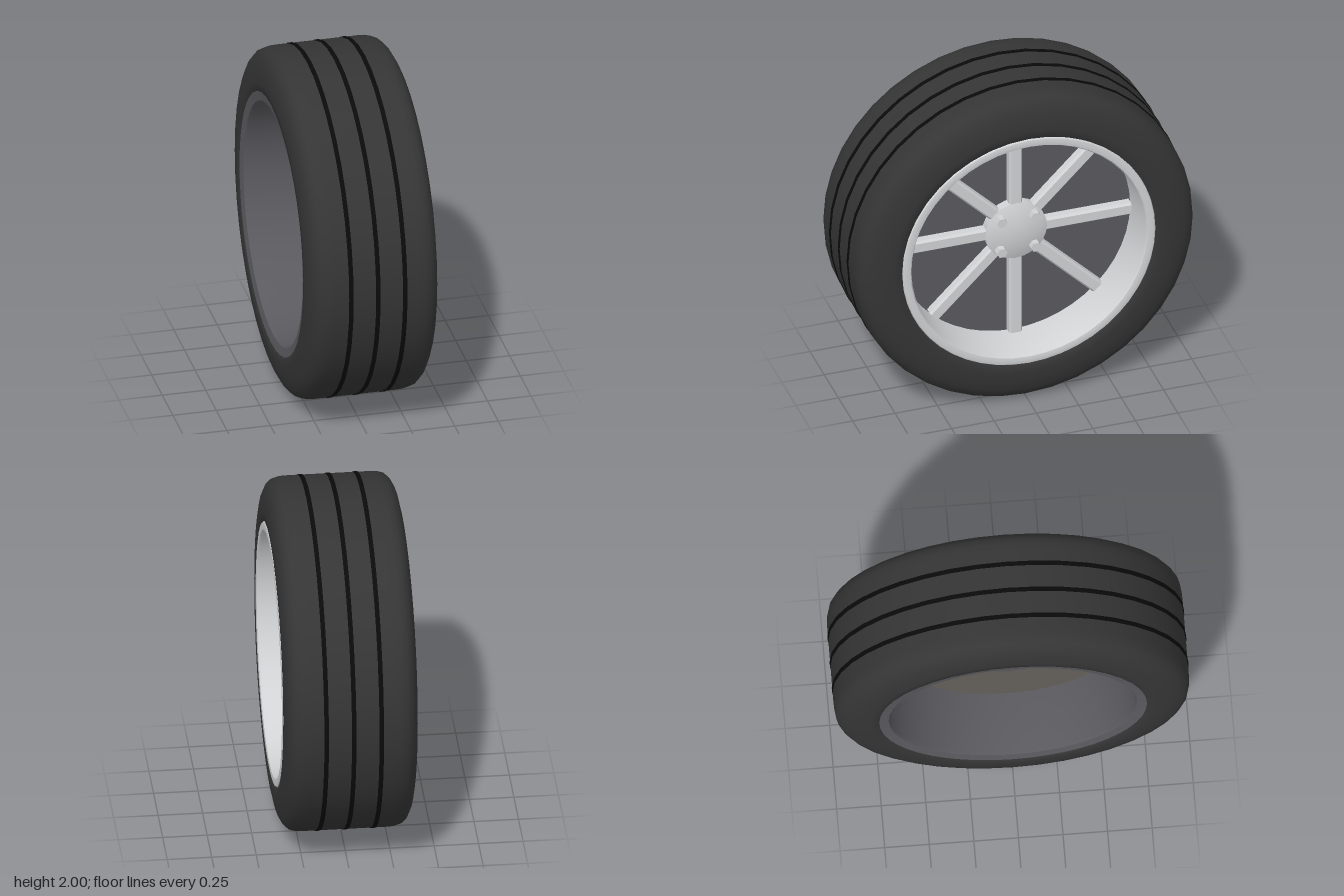
import * as THREE from 'three';
import { toCreasedNormals } from 'three/addons/utils/BufferGeometryUtils.js';

const material = (name, color) => {
  const m = new THREE.MeshStandardMaterial({ color });
  m.name = name;
  return m;
};

export function createModel() {
  const rubber = material('tyre rubber', 0x353535);
  const black = material('groove black', 0x0a0a0a);
  const silver = material('rim silver', 0xd0d2d4);
  const dark = material('dark metal', 0x5a595e);
  const iron = material('brake iron', 0x64615a);
  const caliperGrey = material('caliper grey', 0x3c3c40);

  const wheel = new THREE.Group();
  wheel.name = 'wheel';
  wheel.position.y = 1;

  const add = (name, geometry, mat, parent = wheel) => {
    const mesh = new THREE.Mesh(geometry, mat);
    mesh.name = name;
    parent.add(mesh);
    return mesh;
  };

  // Surface of revolution about the x axle, from [radius, x] points
  const turned = (points, sides = 48, crease = 0.7) => {
    const g = new THREE.LatheGeometry(points.map(([r, x]) => new THREE.Vector2(r, x)), sides);
    g.rotateZ(-Math.PI / 2);
    return toCreasedNormals(g, crease);
  };

  // Solid disc on the axle between two x positions
  const disc = (radius, x0, x1, sides = 48) => {
    const g = new THREE.CylinderGeometry(radius, radius, x1 - x0, sides);
    g.rotateZ(-Math.PI / 2);
    g.translate((x0 + x1) / 2, 0, 0);
    return g;
  };

  // Tyre: one sidewall and shoulder, mirrored across the tread
  const shoulder = [[0.74, -0.36], [0.755, -0.374], [0.8, -0.377], [0.86, -0.371], [0.92, -0.358],
    [0.96, -0.338], [0.985, -0.31], [0.995, -0.275], [0.997, -0.23]];
  const otherShoulder = shoulder.map(([r, x]) => [r, -x]).reverse();
  add('tyre', turned([...shoulder, ...otherShoulder], 40), rubber);

  // Tread grooves
  for (const x of [-0.155, 0, 0.155]) {
    const w = 0.0125;
    add('treadGroove', turned([[0.99, x - w], [1, x - w], [1, x + w], [0.99, x + w]], 40), black);
  }

  // Rim: bright outer lip and barrel, dark inner barrel
  add('rimFront', turned([[0.75, 0.34], [0.75, 0.362], [0.741, 0.374], [0.72, 0.378], [0.699, 0.374],
    [0.69, 0.36], [0.69, 0.08]]), silver);
  add('rimRear', turned([[0.69, 0.08], [0.69, -0.345], [0.698, -0.362], [0.75, -0.372], [0.76, -0.36]]), dark);
  add('backPlate', disc(0.69, 0.04, 0.09), dark);

  // Brake behind the wheel face
  add('brakeDisc', disc(0.55, -0.05, 0), iron);
  add('axleHub', disc(0.18, -0.056, 0.05, 32), dark);
  add('brakeCaliper', new THREE.BoxGeometry(0.14, 0.25, 0.42), caliperGrey).position.set(-0.04, 0.45, 0);

  // Spokes with chamfered front edges
  const section = new THREE.Shape([[-0.038, 0], [0.038, 0], [0.038, 0.043], [0.027, 0.057], [-0.027, 0.057],
    [-0.038, 0.043]].map(([a, b]) => new THREE.Vector2(a, b)));
  const spoke = new THREE.ExtrudeGeometry(section, { depth: 0.53, bevelEnabled: false });
  spoke.rotateZ(-Math.PI / 2);
  spoke.translate(0.088, 0, 0.15);
  for (let i = 0; i < 8; i++) {
    add('spoke', spoke, silver).rotation.x = (i * Math.PI) / 4;
  }

  // Domed hub
  add('hub', turned([[0.182, 0.08], [0.182, 0.145], [0.15, 0.157], [0.1, 0.169], [0.05, 0.176],
    [0, 0.178]], 24), silver);

  // Wheel nuts
  const nut = toCreasedNormals(disc(0.031, 0.15, 0.2, 6), 0.5);
  for (const y of [-0.1, 0.1]) {
    for (const z of [-0.1, 0.1]) {
      add('wheelNut', nut, silver).position.set(0, y, z);
    }
  }

  const model = new THREE.Group();
  model.name = 'wheelModel';
  model.add(wheel);
  return model;
}
